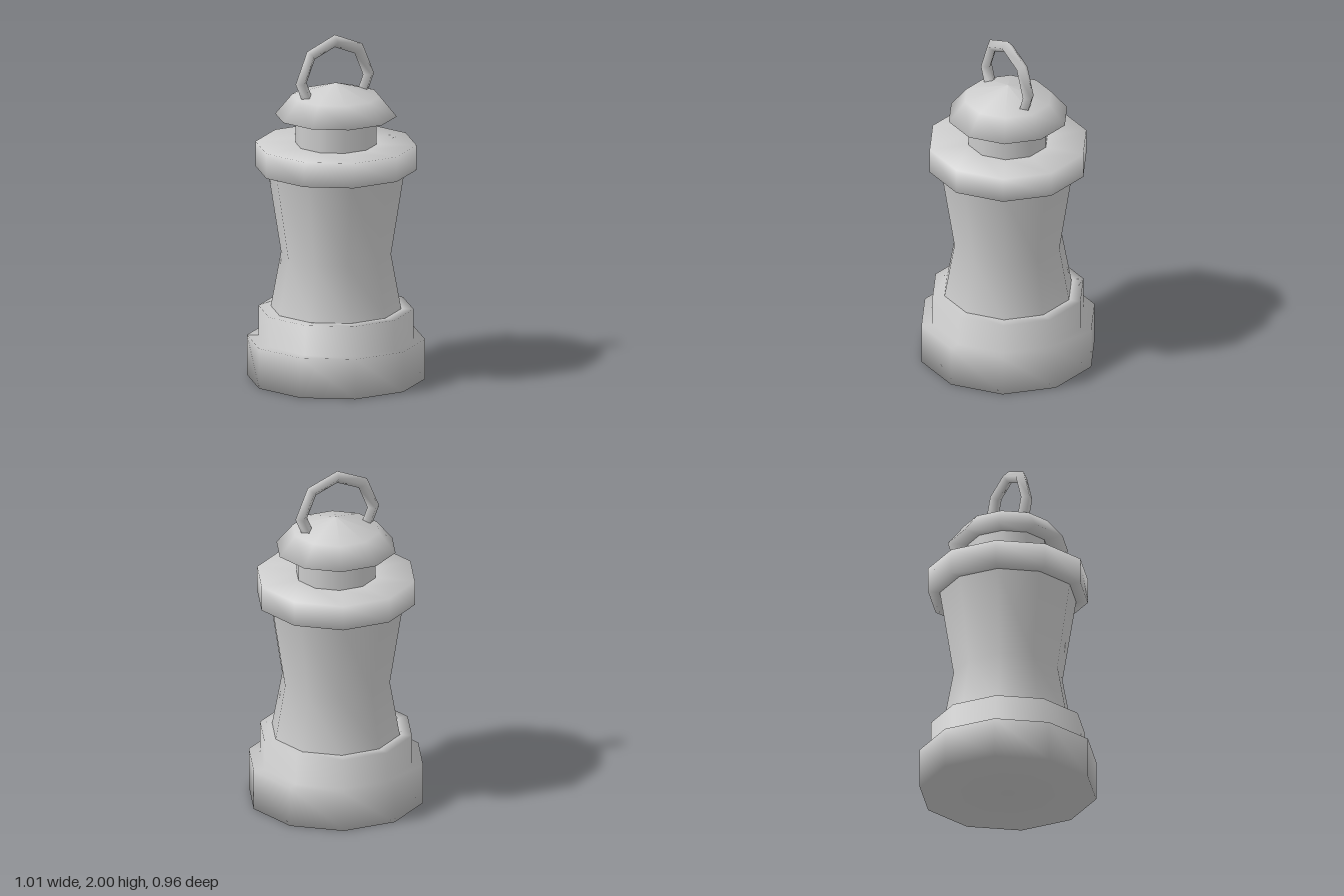
import * as THREE from 'three';

const SIDES = 10;

export function createModel() {
  const model = new THREE.Group();
  const material = new THREE.MeshStandardMaterial({ color: 0xcccccc });

  function add(name, geometry) {
    const mesh = new THREE.Mesh(geometry, material);
    mesh.name = name;
    model.add(mesh);
    return mesh;
  }

  // Ten-sided turned part, profile listed from bottom to top as [radius, height]
  function turned(name, profile) {
    const points = profile.map(([r, y]) => new THREE.Vector2(r, y));
    return add(name, new THREE.LatheGeometry(points, SIDES, Math.PI / 2));
  }

  // Two-step base
  turned('base', [[0, 0], [0.505, 0], [0.505, 0.233], [0.44, 0.233], [0.44, 0.407], [0.37, 0.407]]);

  // Waisted body
  turned('body', [[0.37, 0.407], [0.312, 0.725], [0.39, 1.22]]);

  // Projecting rim around the top of the body
  turned('rim', [[0.39, 1.22], [0.457, 1.22], [0.457, 1.365], [0.23, 1.365]]);

  // Neck under the cap
  turned('neck', [[0.23, 1.365], [0.23, 1.53]]);

  // Domed cap with flat underside
  turned('cap', [[0.23, 1.53], [0.345, 1.53], [0.25, 1.645], [0, 1.72]]);

  // Ring handle with a diamond section, its feet sunk into the cap
  const handle = add('handle', new THREE.TorusGeometry(0.221, 0.036, 4, 6, Math.PI * 1.5));
  handle.rotation.z = -Math.PI / 4;
  handle.position.set(-0.008, 1.743, 0);

  return model;
}
